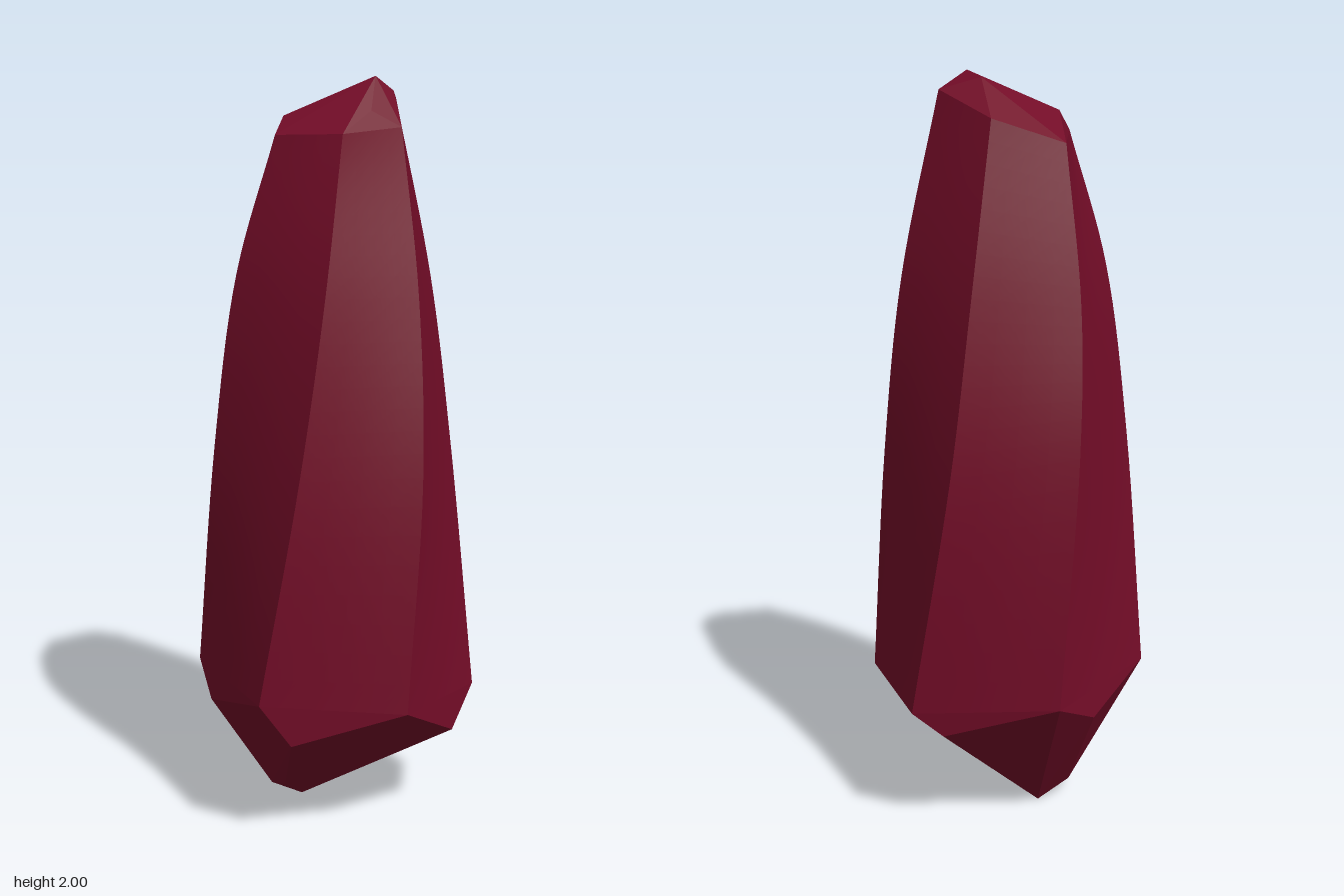
import * as THREE from 'three';
import { ConvexGeometry } from 'three/addons/geometries/ConvexGeometry.js';

const vec = ([x, y, z]) => new THREE.Vector3(x, y, z);

// Six twisting ridges, bottom to top, in order around the crystal
const RIDGES = [
  [[0.10, 0.36, -0.37], [0.0, 1.0, -0.33], [-0.03, 1.45, -0.265], [-0.04, 1.88, -0.17]],
  [[0.37, 0.35, -0.10], [0.285, 1.02, -0.16], [0.22, 1.48, -0.168], [0.13, 1.95, -0.12]],
  [[0.27, 0.39, 0.27], [0.285, 1.0, 0.19], [0.25, 1.45, 0.11], [0.18, 1.87, 0.02]],
  [[-0.10, 0.41, 0.37], [0.0, 1.0, 0.33], [0.05, 1.45, 0.27], [0.065, 1.85, 0.165]],
  [[-0.37, 0.42, 0.10], [-0.29, 1.05, 0.16], [-0.22, 1.5, 0.165], [-0.12, 1.85, 0.14]],
  [[-0.28, 0.40, -0.27], [-0.29, 1.05, -0.18], [-0.26, 1.42, -0.11], [-0.19, 1.82, -0.05]],
];

// Chipped corners below the sides, and the small tip they run down to
const BASE = [
  [0.34, 0.26, 0.03], [-0.02, 0.30, 0.35], [-0.31, 0.33, 0.17],
  [-0.32, 0.33, -0.13], [0.02, 0.30, -0.345],
  [-0.12, 0, -0.04], [-0.18, 0.04, 0.04], [-0.12, 0.07, 0.10], [-0.09, 0.02, 0.04],
];

// Facet corners of the crown
const CROWN = [
  [-0.12, 1.90, 0.07], [0.10, 2.0, -0.02], [0.14, 1.965, -0.05],
  [0.03, 1.98, -0.08], [0.11, 1.91, 0.06],
];

// One long side: a ruled surface between two neighbouring ridges
function sideGeometry(a, b, rows = 24, cols = 4) {
  const positions = [], index = [];
  for (let r = 0; r <= rows; r++) {
    const p = a.getPoint(r / rows), q = b.getPoint(r / rows);
    for (let c = 0; c <= cols; c++) positions.push(...p.clone().lerp(q, c / cols).toArray());
  }
  const w = cols + 1;
  for (let r = 0; r < rows; r++) {
    for (let c = 0; c < cols; c++) {
      const i = r * w + c;
      index.push(i + 1, i, i + w, i + 1, i + w, i + w + 1);
    }
  }
  const g = new THREE.BufferGeometry();
  g.setAttribute('position', new THREE.Float32BufferAttribute(positions, 3));
  g.setIndex(index);
  g.computeVertexNormals();
  return g;
}

export function createModel() {
  const group = new THREE.Group();
  group.name = 'crystal';
  const material = new THREE.MeshStandardMaterial({ color: 0x720c27 });
  const add = (name, geometry) => {
    const mesh = new THREE.Mesh(geometry, material);
    mesh.name = name;
    group.add(mesh);
  };

  // Long sides, smooth along their length with sharp ridges between them
  const curves = RIDGES.map((r) => new THREE.CatmullRomCurve3(r.map(vec)));
  curves.forEach((curve, i) => add(`side${i + 1}`, sideGeometry(curve, curves[(i + 1) % 6])));

  // Faceted ends
  add('base', new ConvexGeometry([...RIDGES.map((r) => r[0]), ...BASE].map(vec)));
  add('crown', new ConvexGeometry([...RIDGES.map((r) => r[3]), ...CROWN].map(vec)));

  return group;
}
